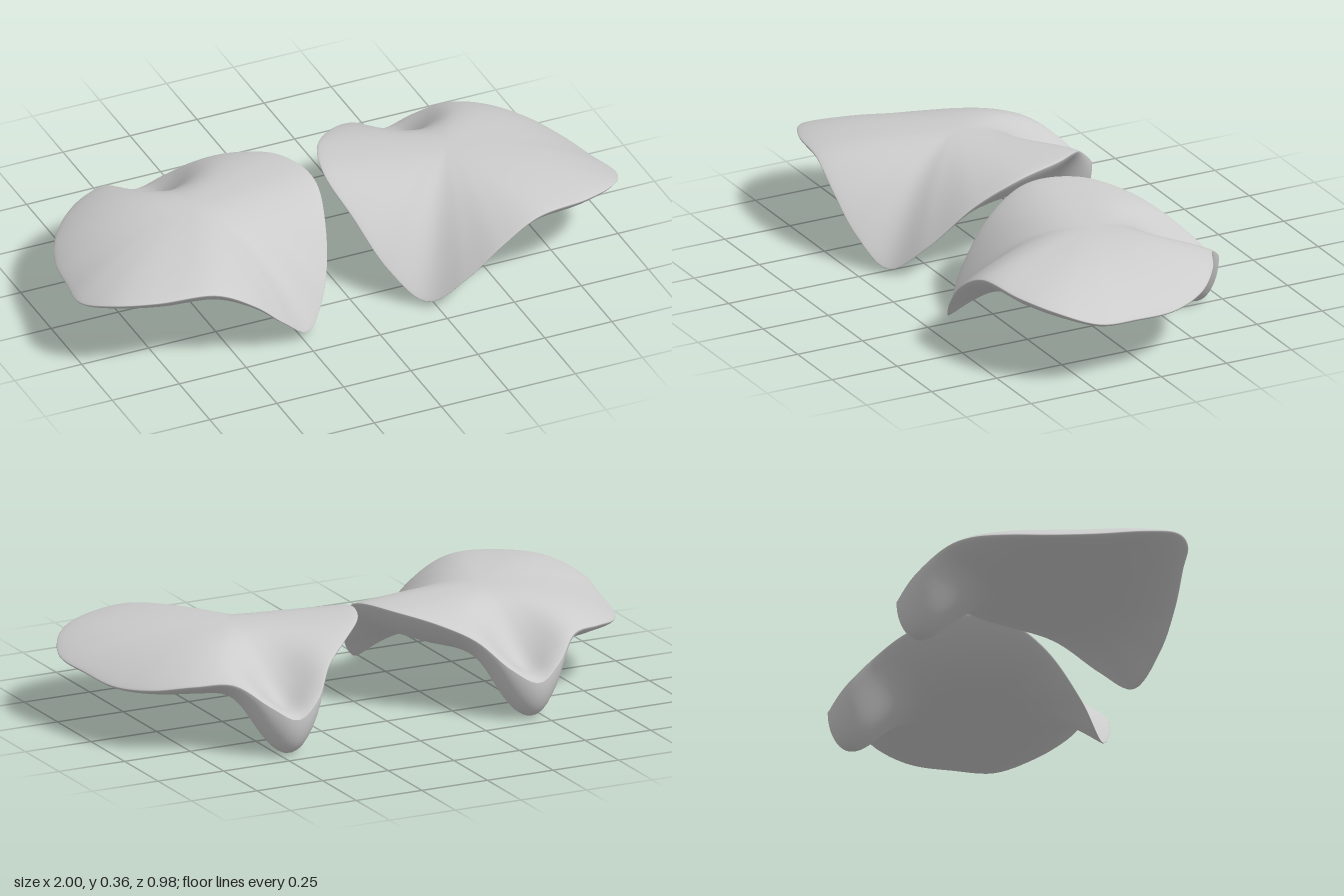
import * as THREE from 'three';
import { mergeVertices } from 'three/addons/utils/BufferGeometryUtils.js';

// Rim of one pad as [x, y, z]: inner edge, front lobe, outer edge, back spout
const RIM = [
  [0.02, 0.34, 0], [0.05, 0.26, 0.16], [0.12, 0.11, 0.31], [0.22, 0.015, 0.405],
  [0.34, 0.11, 0.465], [0.46, 0.22, 0.485], [0.6, 0.295, 0.475], [0.8, 0.295, 0.44],
  [0.93, 0.275, 0.365], [1.0, 0.235, 0.24], [0.98, 0.215, 0.08], [0.95, 0.205, -0.08],
  [0.88, 0.22, -0.22], [0.77, 0.245, -0.32], [0.65, 0.25, -0.38], [0.55, 0.18, -0.46],
  [0.46, 0.13, -0.49], [0.37, 0.18, -0.46], [0.28, 0.27, -0.37], [0.18, 0.32, -0.29],
  [0.07, 0.35, -0.17],
].map((p) => new THREE.Vector3(...p));

const CENTRE = { x: 0.48, z: 0 };
const SEGMENTS = 140;
const RINGS = 30;

// Upper skin: gently domed, falling to the rim, with a channel leading into the spout
function topHeight(s, rimY, x, z) {
  const dome = THREE.MathUtils.lerp(0.33, rimY, s ** 2.3) + 0.02 * Math.sqrt(1 - s * s);
  const channel = Math.exp(-(((x - 0.46) / 0.11) ** 2) - ((z + 0.35) / 0.14) ** 2);
  return dome - 0.09 * channel * (1 - s ** 8);
}

// Lower skin: shallow belly with a rounded, tube-like bulge under the back spout
function bottomHeight(s, rimY, x, z) {
  const belly = THREE.MathUtils.lerp(0.195, rimY, s ** 3) - 0.03 * Math.sqrt(1 - s ** 4);
  const bulge = Math.exp(-(Math.abs((x - 0.46) / 0.135) ** 3) - ((z + 0.41) / 0.15) ** 2);
  return belly - 0.145 * bulge * Math.sqrt(1 - s ** 16);
}

// Closed skin: rings run from the top centre to the rim and back to the bottom centre
function padGeometry(side) {
  const rim = new THREE.CatmullRomCurve3(RIM, true).getSpacedPoints(SEGMENTS);
  const positions = [];
  const index = [];
  const row = SEGMENTS + 1;

  for (let i = 0; i <= 2 * RINGS; i++) {
    const s = i === 2 * RINGS ? 0 : Math.min(1, Math.sin((i / RINGS) * Math.PI / 2));
    for (const p of rim) {
      const x = THREE.MathUtils.lerp(CENTRE.x, p.x, s);
      const z = THREE.MathUtils.lerp(CENTRE.z, p.z, s);
      const height = i <= RINGS ? topHeight : bottomHeight;
      positions.push(side * x, height(s, p.y, x, z), z);
    }
  }
  for (let i = 0; i < 2 * RINGS; i++) {
    for (let j = 0; j < SEGMENTS; j++) {
      const a = i * row + j, b = a + row, c = a + 1, d = b + 1;
      const tris = side > 0 ? [a, b, c, c, b, d] : [a, c, b, c, d, b];
      index.push(...tris);
    }
  }

  const raw = new THREE.BufferGeometry();
  raw.setAttribute('position', new THREE.Float32BufferAttribute(positions, 3));
  raw.setIndex(index);
  const geometry = mergeVertices(raw, 1e-5);
  geometry.computeBoundingBox();
  geometry.translate(0, -geometry.boundingBox.min.y, 0);
  geometry.computeVertexNormals();
  return geometry;
}

export function createModel() {
  const group = new THREE.Group();
  group.name = 'pairOfCurvedPads';
  const material = new THREE.MeshStandardMaterial({ color: 0xcccccc });
  for (const [name, side] of [['leftPad', 1], ['rightPad', -1]]) {
    const pad = new THREE.Mesh(padGeometry(side), material);
    pad.name = name;
    group.add(pad);
  }
  return group;
}
